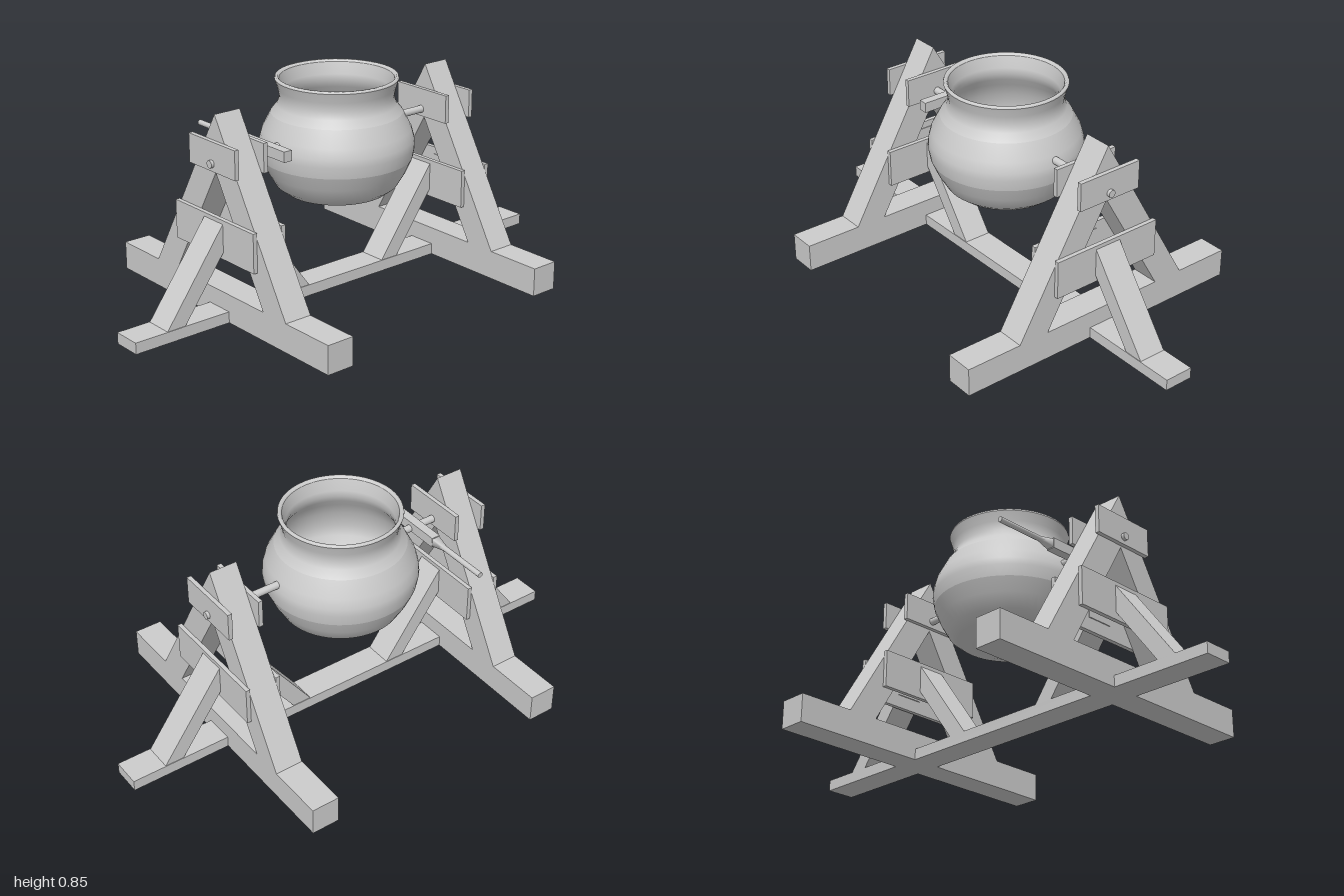
import * as THREE from 'three';

const material = new THREE.MeshStandardMaterial({ color: 0xcccccc });
const potMaterial = new THREE.MeshStandardMaterial({ color: 0xcccccc, side: THREE.DoubleSide });

function add(parent, name, geometry, x = 0, y = 0, z = 0, mat = material) {
  const mesh = new THREE.Mesh(geometry, mat);
  mesh.name = name;
  mesh.position.set(x, y, z);
  parent.add(mesh);
  return mesh;
}

const box = (w, h, d) => new THREE.BoxGeometry(w, h, d);

// Flat outline with thickness, centred on its depth
function slab(points, depth) {
  const shape = new THREE.Shape(points.map(([x, y]) => new THREE.Vector2(x, y)));
  const geometry = new THREE.ExtrudeGeometry(shape, { depth, bevelEnabled: false });
  return geometry.translate(0, 0, -depth / 2);
}

function trestle(side) {
  const group = new THREE.Group();
  group.name = side > 0 ? 'leftTrestle' : 'rightTrestle';
  group.position.x = side * 0.525;
  add(group, 'footBeam', box(0.115, 0.115, 1.27), 0, 0.0575, 0);

  // Two slanted legs meeting at the peak
  for (const s of [-1, 1]) {
    const leg = slab([[s * 0.4, 0.115], [0, 0.805], [0, 0.582], [s * 0.27, 0.115]], 0.115);
    add(group, s > 0 ? 'backLeg' : 'frontLeg', leg.rotateY(Math.PI / 2));
  }

  // Cross planks and a diagonal brace on each face
  for (const s of [-1, 1]) {
    add(group, 'axlePlank', box(0.018, 0.115, 0.28), s * 0.0655, 0.6475, 0);
    add(group, 'lowerPlank', box(0.018, 0.155, 0.48), s * 0.0655, 0.3375, 0);
    const outline = [[0.338, 0.04], [0.074, 0.4], [0.055, 0.385], [0.055, 0.315], [0.258, 0.04]];
    add(group, 'brace', slab(outline.map(([x, y]) => [s * x, y]), 0.115));
  }
  return group;
}

function pot() {
  const group = new THREE.Group();
  group.name = 'pot';
  const bands = {
    potBottom: [[0, 0.345], [0.06, 0.35], [0.12, 0.36], [0.205, 0.388], [0.24, 0.415], [0.272, 0.47], [0.296, 0.525]],
    potBelly: [[0.296, 0.525], [0.304, 0.57], [0.301, 0.6], [0.29, 0.64], [0.256, 0.705]],
    potNeck: [[0.256, 0.705], [0.232, 0.735], [0.221, 0.765], [0.228, 0.8], [0.24, 0.838]],
    potRim: [[0.24, 0.838], [0.237, 0.846], [0.228, 0.846], [0.222, 0.838]],
    potInside: [[0.222, 0.838], [0.209, 0.79], [0.207, 0.765], [0.22, 0.735], [0.245, 0.7], [0.278, 0.64],
      [0.291, 0.57], [0.283, 0.525], [0.228, 0.42], [0.195, 0.398], [0.12, 0.373], [0, 0.358]],
  };
  for (const [name, points] of Object.entries(bands)) {
    const profile = points.map(([r, y]) => new THREE.Vector2(r, y));
    add(group, name, new THREE.LatheGeometry(profile, 48), 0, 0, 0, potMaterial);
  }
  return group;
}

function lever() {
  const group = new THREE.Group();
  group.name = 'tiltLever';
  group.position.set(-0.355, 0.63, 0);
  // Thick bar narrowing into a round handle towards the back
  add(group, 'leverBar', box(0.037, 0.042, 0.28));
  const taper = new THREE.CylinderGeometry(0.012, 0.025, 0.06, 4, 1).rotateY(Math.PI / 4).rotateX(-Math.PI / 2);
  add(group, 'leverTaper', taper, 0, 0, -0.165);
  const rod = new THREE.CylinderGeometry(0.011, 0.011, 0.25, 16).rotateX(Math.PI / 2);
  add(group, 'leverHandle', rod, 0, 0, -0.285);
  return group;
}

export function createModel() {
  const model = new THREE.Group();
  model.name = 'tiltingPotStand';
  add(model, 'basePlank', box(2, 0.045, 0.12), 0, 0.0225, 0);
  for (const side of [-1, 1]) {
    model.add(trestle(side));
    // Axle stub from the pot wall through the trestle
    const axle = new THREE.CylinderGeometry(0.015, 0.015, 0.32, 16).rotateZ(Math.PI / 2);
    add(model, side > 0 ? 'leftAxle' : 'rightAxle', axle, side * 0.452, 0.62, 0);
  }
  model.add(pot(), lever());
  return model;
}
